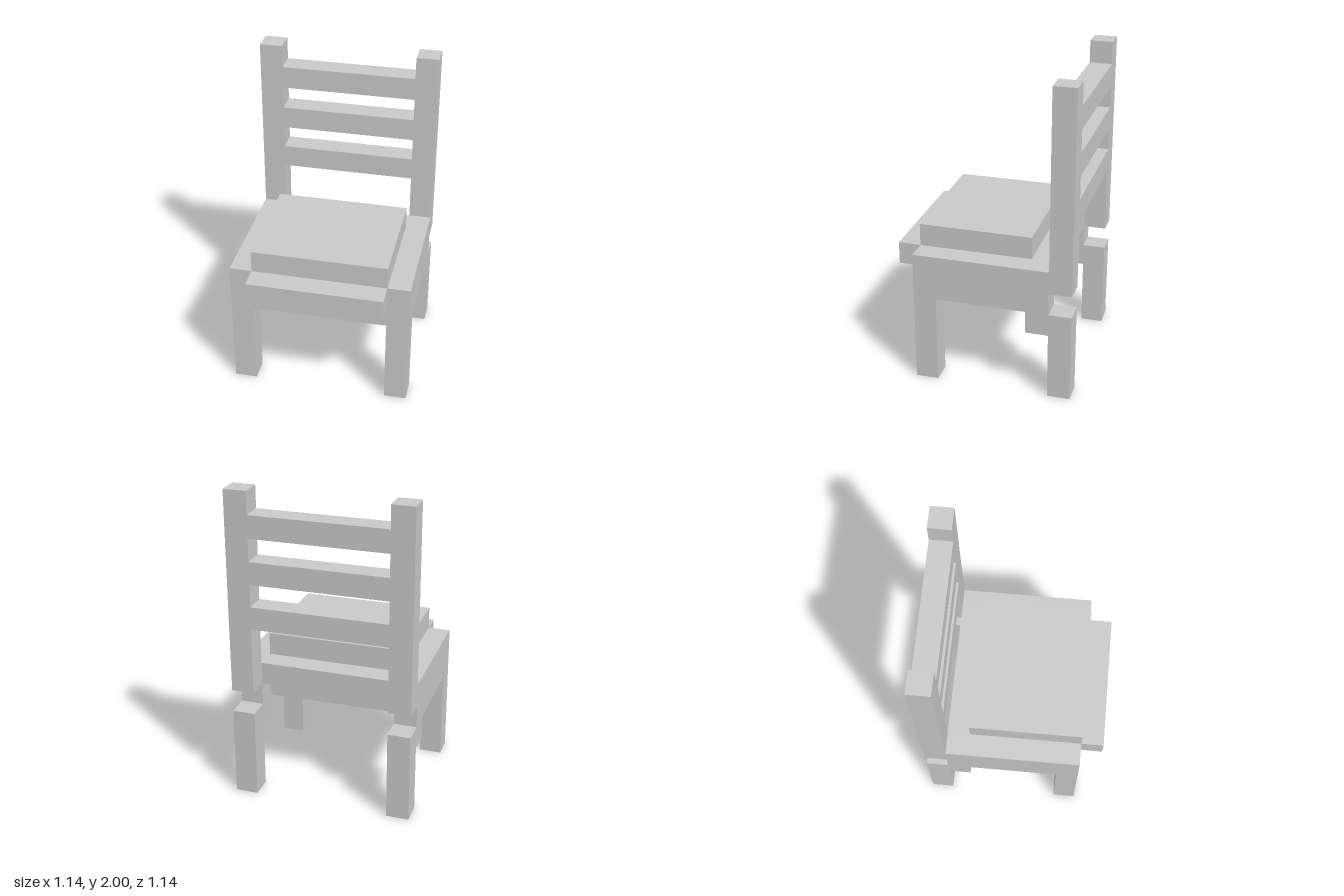
import * as THREE from 'three';

const U = 1 / 7; // block size: the chair is 14 blocks tall

export function createModel() {
  const chair = new THREE.Group();
  chair.name = 'chair';
  const material = new THREE.MeshStandardMaterial({ color: 0xcccccc, flatShading: true });

  // Box given by its [min, max] range in blocks along each axis
  function block(name, x, y, z) {
    const size = [x, y, z].map(([a, b]) => (b - a) * U);
    const mid = [x, y, z].map(([a, b]) => ((a + b) / 2) * U);
    const mesh = new THREE.Mesh(new THREE.BoxGeometry(...size), material);
    mesh.name = name;
    mesh.position.set(...mid);
    chair.add(mesh);
  }

  // Parts that repeat on both sides
  for (const [side, x] of [['left', [3, 4]], ['right', [-4, -3]]]) {
    block(`${side}FrontLeg`, x, [0, 4], [2, 3]);
    block(`${side}RearLeg`, x, [0, 4], [-4, -3]);
    block(`${side}RearBracket`, x, [3, 4], [-3, -2]);
    block(`${side}SeatRail`, x, [4, 6], [-3, 3]);
    block(`${side}BackPost`, x, [5, 14], [-4, -3]);
  }

  // Seat: cross rails, board with front overhang, cushion
  block('frontSeatRail', [-3, 3], [4, 5], [2, 3]);
  block('rearSeatRail', [-3, 3], [4, 5], [-2, -1]);
  block('seatBoard', [-3, 3], [5, 6], [-3, 4]);
  block('seatCushion', [-3, 3], [6, 7], [-2, 3]);

  // Backrest slats
  for (const y of [8, 10, 12]) block('backSlat', [-3, 3], [y, y + 1], [-4, -3]);

  return chair;
}
